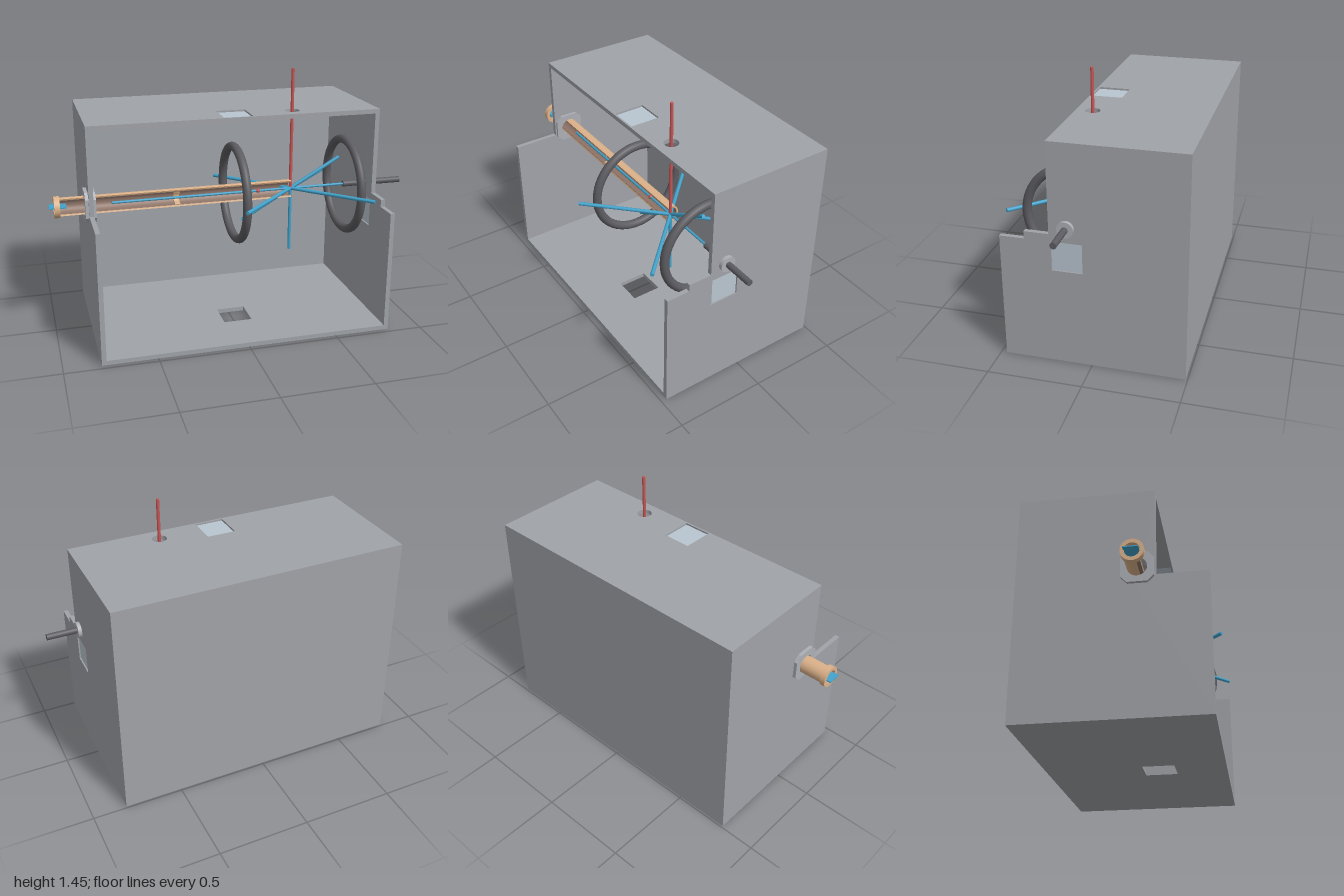
import * as THREE from 'three';

const mat = (name, color, side = THREE.FrontSide) => {
  const m = new THREE.MeshStandardMaterial({ color, side });
  m.name = name;
  return m;
};

export function createModel() {
  const grey = mat('housingGrey', 0xa0a3a8);
  const steel = mat('flangeSteel', 0xacafb5);
  const dark = mat('darkMetal', 0x5c5c61);
  const tan = mat('copperTan', 0xdcb28a);
  const brown = mat('tubeInterior', 0x8e7468);
  const blue = mat('beamBlue', 0x42a3cc);
  const red = mat('beamRed', 0xc85656);
  const glass = mat('paneGlass', 0xb9c6d0);

  const group = new THREE.Group();
  const CX = 0.335, CY = 0.77, CZ = 0.12; // common centre of rods and rings
  const T = 0.025; // wall thickness
  const X0 = -0.8, X1 = 0.815, Z0 = -0.49, Z1 = 0.47, ZT = 0.21, H = 1.215;

  const add = (name, geo, material, x = 0, y = 0, z = 0) => {
    const m = new THREE.Mesh(geo, material);
    m.name = name;
    m.position.set(x, y, z);
    group.add(m);
    return m;
  };
  const poly = (pts) => new THREE.Shape(pts.map(([a, b]) => new THREE.Vector2(a, b)));
  const rect = (a0, b0, a1, b1) => poly([[a0, b0], [a1, b0], [a1, b1], [a0, b1]]);
  const circle = (a, b, r) => new THREE.Shape().absarc(a, b, r, 0, Math.PI * 2, false);
  const extrude = (shape, depth) =>
    new THREE.ExtrudeGeometry(shape, { depth, bevelEnabled: false, curveSegments: 32 });
  // Shape axes (-z, y), extruded along +x
  const alongX = (shape, depth) => extrude(shape, depth).rotateY(Math.PI / 2);
  // Shape axes (x, z), extruded downwards
  const slab = (shape, depth) => extrude(shape, depth).rotateX(Math.PI / 2);

  // Housing: stepped side walls, back, roof and floor
  const leftWall = poly([[-Z1, 0], [-Z0, 0], [-Z0, H], [-ZT, H], [-ZT, 0.73], [-0.34, 0.73], [-0.34, 0.69], [-Z1, 0.69]]);
  leftWall.holes.push(rect(-0.2, 0.53, -0.04, 0.69));
  add('leftWall', alongX(leftWall, T), grey, X1 - T);
  const rightWall = poly([[-Z1, 0], [-Z0, 0], [-Z0, H], [-ZT, H], [-ZT, 0.73], [-Z1, 0.73]]);
  rightWall.holes.push(circle(-CZ, CY, 0.05));
  add('rightWall', alongX(rightWall, T), grey, X0);
  const W = X1 - X0 - 2 * T, mid = (X0 + X1) / 2;
  add('backWall', new THREE.BoxGeometry(W, H, T), grey, mid, H / 2, Z0 + T / 2);
  const roof = rect(X0 + T, Z0 + T, X1 - T, ZT);
  roof.holes.push(rect(-0.07, 0.03, 0.09, 0.2), circle(CX, CZ, 0.04));
  add('roof', slab(roof, T), grey, 0, H);
  const floor = rect(X0 + T, Z0 + T, X1 - T, Z1);
  floor.holes.push(rect(-0.07, 0.03, 0.09, 0.2));
  add('floor', slab(floor, T), grey, 0, T);

  // Window panes
  add('roofPane', new THREE.BoxGeometry(0.16, 0.008, 0.17), glass, 0.01, H - 0.014, 0.115);
  add('sidePane', new THREE.BoxGeometry(0.008, 0.16, 0.16), glass, X1 - 0.012, 0.61, 0.12);

  // Pair of coil rings
  for (const x of [0.01, 0.655]) {
    add('coilRing', new THREE.TorusGeometry(0.258, 0.024, 16, 64).rotateY(Math.PI / 2), dark, x, CY, CZ);
  }

  // Slotted tube, open toward the front
  const cShape = (ro, ri, gap = 1.22) => {
    const a = Math.PI - gap;
    return new THREE.Shape().absarc(0, 0, ro, -a, a, false).absarc(0, 0, ri, a, -a, true);
  };
  const tubeStart = -0.95;
  add('slottedTube', alongX(cShape(0.05, 0.041), CX - tubeStart), tan, tubeStart, CY, CZ);
  add('tubeLining', alongX(cShape(0.041, 0.038), CX - tubeStart - 0.002), brown, tubeStart + 0.001, CY, CZ);
  add('tubeBand', alongX(cShape(0.038, 0.026), 0.03), tan, -0.33, CY, CZ);
  const collar = circle(0, 0, 0.058);
  collar.holes.push(circle(0, 0, 0.038));
  add('endCollar', alongX(collar, 0.03), tan, -0.975, CY, CZ);
  add('endBlade', new THREE.BoxGeometry(0.09, 0.006, 0.075), blue, -0.955, CY + 0.003, CZ - 0.003);

  // Chamfered plates clamping the tube to the wall
  const s = 0.082, c = 0.05;
  for (const x of [X0 - 0.018, X0 + T - 0.008]) {
    const plate = poly([[-s, -c], [-c, -s], [c, -s], [s, -c], [s, c], [c, s], [-c, s], [-s, c]]);
    plate.holes.push(circle(0, 0, 0.05));
    add('tubeFlange', alongX(plate, 0.022), steel, x, CY, CZ);
  }

  // Feed rod with washer on the opposite wall
  const cylX = (r, len) => new THREE.CylinderGeometry(r, r, len, 24).rotateZ(Math.PI / 2);
  add('feedRod', cylX(0.017, 0.35), dark, 0.825, CY, CZ);
  add('rodWasher', cylX(0.043, 0.02), steel, X1 + 0.01, CY, CZ);

  // Thin beams given by offsets from the common centre
  const beam = (name, a, b, r, material) => {
    const p = new THREE.Vector3(...a), q = new THREE.Vector3(...b);
    const d = q.clone().sub(p);
    const m = add(name, new THREE.CylinderGeometry(r, r, d.length(), 12), material);
    m.position.copy(p).add(q).multiplyScalar(0.5).add(new THREE.Vector3(CX, CY, CZ));
    m.quaternion.setFromUnitVectors(new THREE.Vector3(0, 1, 0), d.normalize());
  };
  const k = 0.355;
  beam('crossBeam', [-k, 0, k], [k, 0, -k], 0.01, blue);
  beam('crossBeam', [k, 0, k], [-k, 0, -k], 0.01, blue);
  beam('slantedBeam', [-0.285, -0.163, 0], [0.285, 0.163, 0], 0.01, blue);
  beam('axialBeam', [-1.005, 0, 0], [0.33, 0, 0], 0.007, blue);
  beam('lowerBeam', [0, -0.365, 0], [0, 0, 0], 0.009, blue);
  beam('upperBeam', [0, 0, 0], [0, 0.675, 0], 0.009, red);
  add('centreBead', new THREE.SphereGeometry(0.012, 12, 8), red, 0.145, CY, CZ);

  return group;
}
